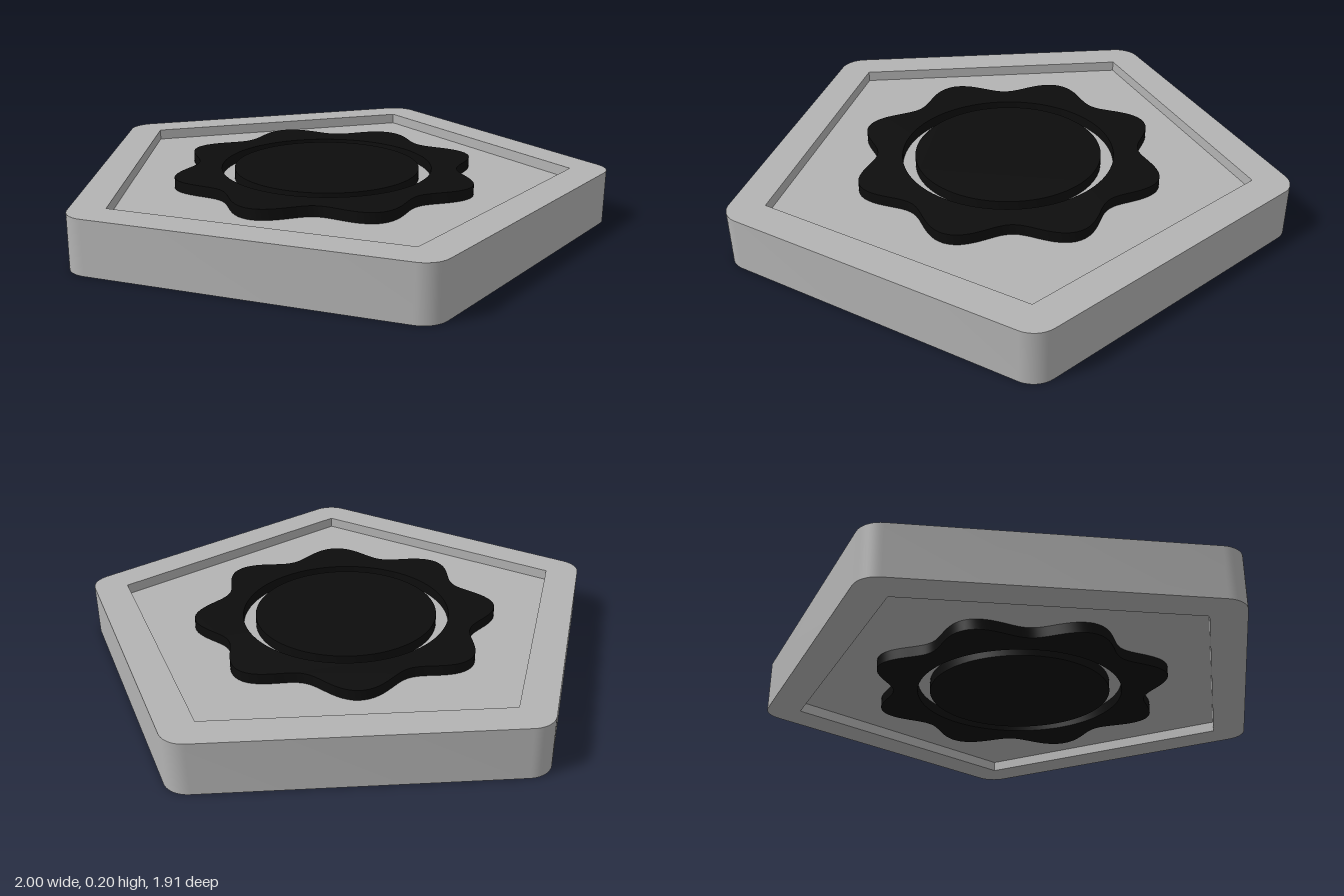
import * as THREE from 'three';
import { toCreasedNormals } from 'three/addons/utils/BufferGeometryUtils.js';

const HEIGHT = 0.2;
const RECESS = 0.04;
const PENTAGON_Z = 0.0914;
const EMBLEM_Z = 0.08;

// Corner points of a pentagon pointing to the back, optionally rounded
function pentagonPoints(radius, round = 0) {
  const points = [];
  const steps = round > 0 ? 10 : 0;
  const inner = radius - round / Math.cos(Math.PI / 5);
  for (let i = 0; i < 5; i++) {
    const a = Math.PI / 2 + (i * Math.PI * 2) / 5;
    for (let j = 0; j <= steps; j++) {
      const b = steps ? a + (j / steps - 0.5) * (Math.PI * 2 / 5) : a;
      points.push(new THREE.Vector2(
        inner * Math.cos(a) + round * Math.cos(b),
        inner * Math.sin(a) + round * Math.sin(b)
      ));
    }
  }
  return points;
}

// Wavy outline with eight soft lobes
function lobedPoints() {
  const points = [];
  const count = 192;
  for (let i = 0; i < count; i++) {
    const a = (i / count) * Math.PI * 2;
    const r = 0.538 + 0.046 * Math.cos(8 * (a - THREE.MathUtils.degToRad(10)));
    points.push(new THREE.Vector2(r * Math.cos(a), r * Math.sin(a)));
  }
  return points;
}

// Horizontal slab made from an outline
function slab(name, shape, bottom, top, z, material) {
  const geometry = new THREE.ExtrudeGeometry(shape, {
    depth: top - bottom, bevelEnabled: false, curveSegments: 48,
  });
  geometry.rotateX(-Math.PI / 2);
  const mesh = new THREE.Mesh(toCreasedNormals(geometry, 0.5), material);
  mesh.name = name;
  mesh.position.set(0, bottom, z);
  return mesh;
}

export function createModel() {
  const grey = new THREE.MeshStandardMaterial({ color: 0xb3b3b3 });
  grey.name = 'light grey';
  const black = new THREE.MeshStandardMaterial({ color: 0x0d0d0d });
  black.name = 'black';

  const group = new THREE.Group();
  group.name = 'pentagonBadge';

  // Raised rim with rounded outer corners and a sharp inner pentagon
  const rim = new THREE.Shape(pentagonPoints(1.069, 0.095));
  rim.holes.push(new THREE.Path(pentagonPoints(0.9116)));
  group.add(slab('rim', rim, 0, HEIGHT, PENTAGON_Z, grey));

  // Panel recessed on both faces
  const panel = new THREE.Shape(pentagonPoints(0.9116));
  group.add(slab('panel', panel, RECESS, HEIGHT - RECESS, PENTAGON_Z, grey));

  // Lobed ring and central disc, raised level with the rim on both faces
  const ring = new THREE.Shape(lobedPoints());
  ring.holes.push(new THREE.Path().absarc(0, 0, 0.398, 0, Math.PI * 2, true));
  const disc = new THREE.Shape().absarc(0, 0, 0.35, 0, Math.PI * 2, false);
  for (const [side, y] of [['top', HEIGHT - RECESS], ['bottom', 0]]) {
    group.add(slab(side + 'LobedRing', ring, y, y + RECESS, EMBLEM_Z, black));
    group.add(slab(side + 'Disc', disc, y, y + RECESS, EMBLEM_Z, black));
  }
  return group;
}
